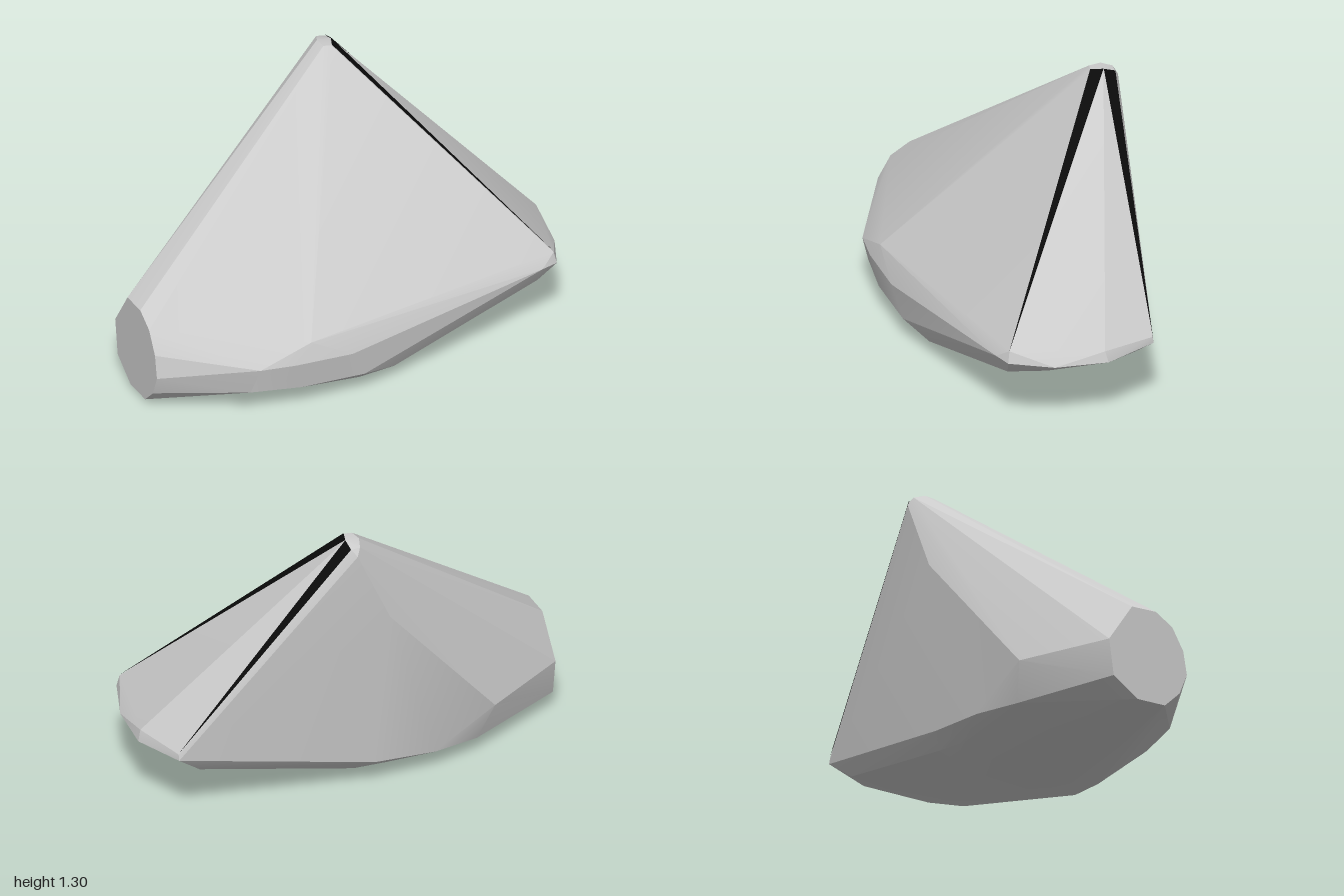
import * as THREE from 'three';
import { ConvexGeometry } from 'three/addons/geometries/ConvexGeometry.js';
import { toCreasedNormals } from 'three/addons/utils/BufferGeometryUtils.js';

const v = (x, y, z) => new THREE.Vector3(x, y, z);

// A ring of points sharing one x, given as [y, z] pairs
const ring = (x, pairs) => pairs.map(([y, z]) => v(x, y, z));

// Corners where the two dark bevels meet the peak and the tip
const peakFront = v(0.12, 1.3, -0.345);
const peakSide = v(0.14, 1.3, -0.4);
const peakBack = v(0.14, 1.28, -0.455);
const tipFront = v(0.87, 0.41, 0.35);
const tipBack = v(0.92, 0.37, -0.31);

// Narrow triangle lifted just off the body
function bevel(a, b, c) {
  const normal = new THREE.Triangle(a, b, c).getNormal(v(0, 0, 0));
  const points = [a, b, c].map(p => p.clone().addScaledVector(normal, 0.003));
  const geometry = new THREE.BufferGeometry().setFromPoints(points);
  geometry.computeVertexNormals();
  return geometry;
}

export function createModel() {
  const model = new THREE.Group();
  const grey = new THREE.MeshStandardMaterial({ color: 0xcccccc });
  const black = new THREE.MeshStandardMaterial({ color: 0x0a0a0a, side: THREE.DoubleSide });

  const points = [
    // flat end
    ...ring(-1, [[0.45, -0.08], [0.46, 0.05], [0.41, 0.14], [0.31, 0.2], [0.2, 0.22],
      [0.1, 0.18], [0.02, 0.1], [0.01, -0.05], [0.09, -0.18], [0.26, -0.205]]),
    // rounded front flank
    v(-0.6, 0.26, 0.44), v(-0.44, 0.26, 0.47), v(-0.36, 0.35, 0.455), v(-0.17, 0.25, 0.48),
    v(-0.63, 0.13, 0.4), v(-0.4, 0.12, 0.445), v(-0.1, 0.11, 0.455),
    // back flank with its upright ridge
    v(-0.6, 0.25, -0.4), v(-0.53, 0.08, -0.36), v(-0.3, 0.1, -0.41),
    v(0, 0.13, -0.412), v(-0.04, 0.9, -0.478),
    // underside
    ...ring(-0.1, [[0.06, 0.4], [0.03, 0.3], [0, 0.1], [0.005, -0.1], [0.035, -0.25], [0.06, -0.33]]),
    ...ring(0.07, [[0.07, 0.4], [0.04, 0.3], [0.02, 0.13], [0.02, -0.1], [0.05, -0.25], [0.08, -0.34]]),
    // lower tip edge
    ...ring(0.8, [[0.27, 0.33], [0.235, 0.14], [0.235, -0.07], [0.245, -0.28]]),
    // upper tip edge
    v(0.8, 0.36, 0.385), v(0.88, 0.355, 0.36), v(0.96, 0.335, 0.17), v(0.995, 0.33, -0.07),
    v(0.98, 0.38, -0.06), v(0.92, 0.34, -0.315), tipFront, tipBack,
    // blunt peak
    peakFront, peakSide, peakBack,
    v(0.085, 1.3, -0.355), v(0.08, 1.3, -0.41), v(0.1, 1.285, -0.46), v(0.12, 1.25, -0.477),
  ];

  const body = new THREE.Mesh(toCreasedNormals(new ConvexGeometry(points), 0.3), grey);
  body.name = 'facetedBody';
  model.add(body);

  // Dark bevels running from the peak to the tip
  const bevels = {
    frontBevel: [peakFront, tipFront, peakSide],
    backBevel: [peakSide, tipBack, peakBack],
  };
  for (const [name, corners] of Object.entries(bevels)) {
    const mesh = new THREE.Mesh(bevel(...corners), black);
    mesh.name = name;
    model.add(mesh);
  }
  return model;
}
